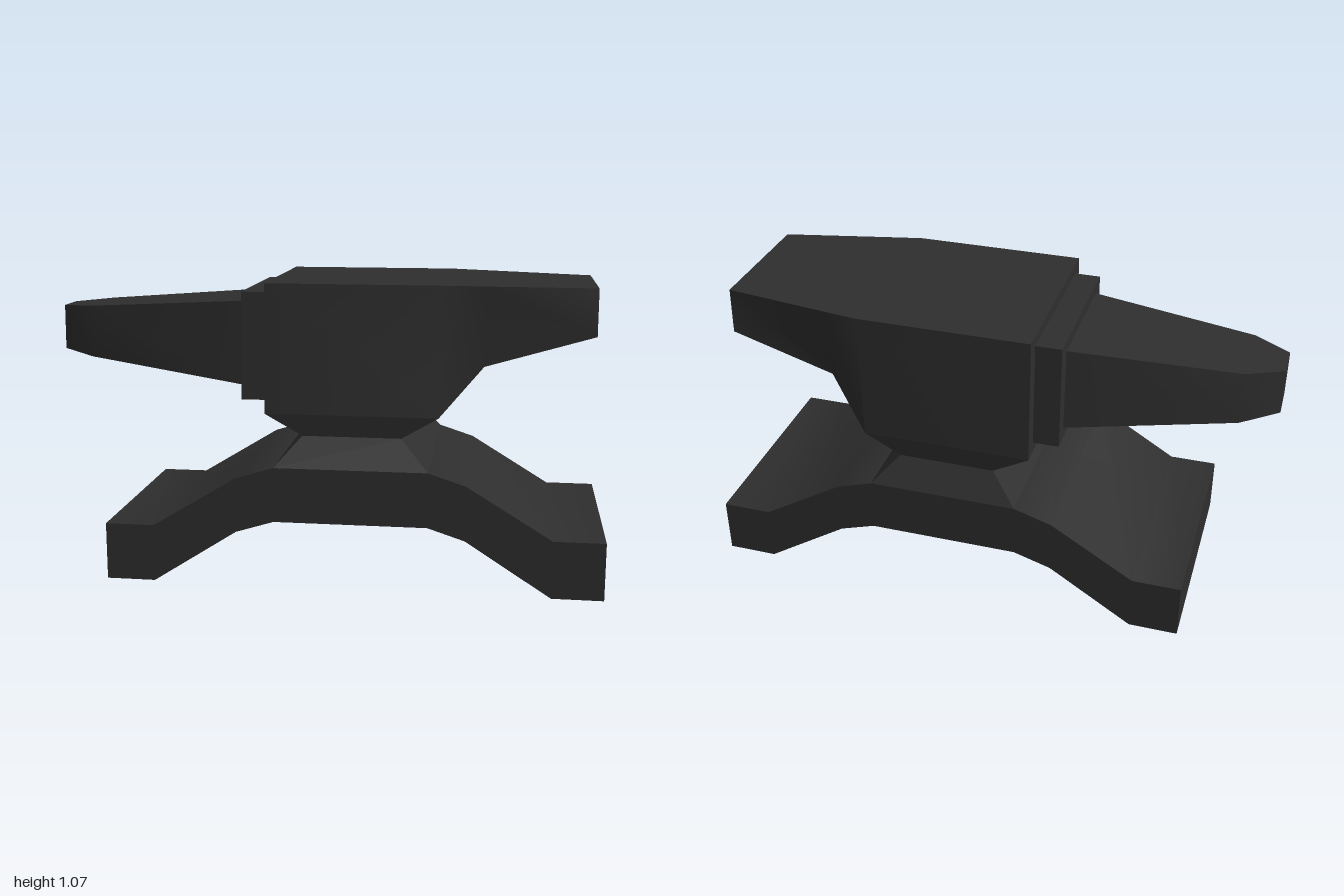
import * as THREE from 'three';
import { toCreasedNormals } from 'three/addons/utils/BufferGeometryUtils.js';

const CREASE = 0.58;

// Skin a row of four-cornered rings and close both ends.
function loft(rings) {
  const pos = [];
  const quad = (a, b, c, d) => pos.push(...a, ...b, ...c, ...a, ...c, ...d);
  for (let r = 0; r < rings.length - 1; r++) {
    const p = rings[r], q = rings[r + 1];
    for (let i = 0; i < 4; i++) {
      const j = (i + 1) % 4;
      quad(p[i], p[j], q[j], q[i]);
    }
  }
  const first = rings[0], last = rings[rings.length - 1];
  quad(first[3], first[2], first[1], first[0]);
  quad(...last);
  const geo = new THREE.BufferGeometry();
  geo.setAttribute('position', new THREE.Float32BufferAttribute(pos, 3));
  return toCreasedNormals(geo, CREASE);
}

// Ring across x; bottom and top may lie at slightly different x.
const ringX = ([xb, xt, yb, yt, zb, zt]) =>
  [[xb, yb, -zb], [xt, yt, -zt], [xt, yt, zt], [xb, yb, zb]];

// Ring across y.
const ringY = ([y, x0, x1, z]) =>
  [[x0, y, -z], [x0, y, z], [x1, y, z], [x1, y, -z]];

export function createModel() {
  const group = new THREE.Group();
  const iron = new THREE.MeshStandardMaterial({ color: 0x2e2e2e });
  iron.name = 'dark iron';
  const add = (name, geo) => {
    const mesh = new THREE.Mesh(geo, iron);
    mesh.name = name;
    group.add(mesh);
  };

  // Arched base with two feet
  const outline = [
    [-0.76, 0], [-0.585, 0], [-0.285, 0.193], [-0.15, 0.235], [0.39, 0.235],
    [0.52, 0.193], [0.82, 0], [1, 0], [1, 0.205], [0.82, 0.205],
    [0.52, 0.388], [0.39, 0.43], [-0.15, 0.43], [-0.285, 0.388],
    [-0.585, 0.205], [-0.76, 0.205],
  ].map(([x, y]) => new THREE.Vector2(x, y));
  const base = new THREE.ExtrudeGeometry(new THREE.Shape(outline), { depth: 0.8, bevelEnabled: false });
  base.translate(0, 0, -0.4);
  add('base', toCreasedNormals(base, CREASE));

  // Narrow waist between base and body
  add('waist', loft([
    [0.43, -0.15, 0.39, 0.4],
    [0.535, -0.055, 0.292, 0.34],
    [0.612, -0.187, 0.42, 0.35],
  ].map(ringY)));

  // Body and tapering heel
  add('body', loft([
    [-0.187, -0.187, 0.612, 1.066, 0.35, 0.335],
    [0.42, 0.43, 0.612, 1.066, 0.35, 0.335],
    [0.57, 0.57, 0.78, 1.063, 0.258, 0.311],
    [0.95, 0.95, 0.89, 1.055, 0.25, 0.243],
  ].map(ringX)));

  // Step plate
  add('stepPlate', loft([
    [-0.28, -0.28, 0.65, 1.03, 0.293, 0.28],
    [-0.18, -0.18, 0.65, 1.03, 0.293, 0.28],
  ].map(ringX)));

  // Pointed horn
  add('horn', loft([
    [-1, -1, 0.785, 0.947, 0.069, 0.064],
    [-0.87, -0.87, 0.768, 0.955, 0.148, 0.138],
    [-0.275, -0.275, 0.69, 0.992, 0.233, 0.22],
  ].map(ringX)));

  return group;
}
